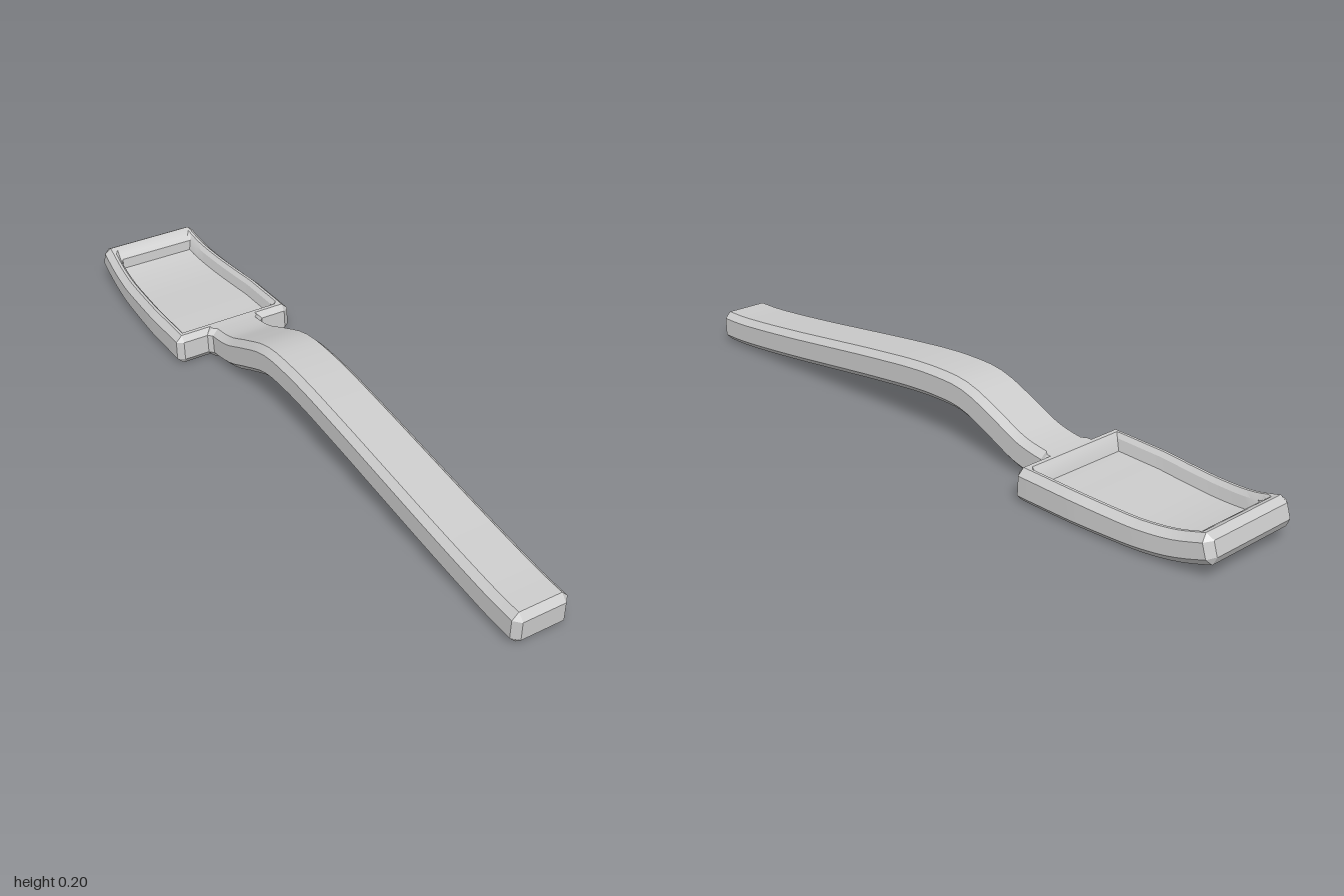
import * as THREE from 'three';
import { toCreasedNormals } from 'three/addons/utils/BufferGeometryUtils.js';

const THICK = 0.09;
const CHAMFER = 0.018;

// Height of the underside, sampled every 0.1 from z = 1.1 down to z = -1.1
const UNDERSIDE = [
  0.002, 0.002, 0.005, 0.014, 0.025, 0.037, 0.05, 0.063, 0.076, 0.088, 0.099, 0.105,
  0.1, 0.062, 0.02, 0.002, 0, 0, 0, 0.003, 0.016, 0.045, 0.08,
];

function underside(z) {
  const s = (1.1 - z) * 10;
  const i = THREE.MathUtils.clamp(Math.floor(s), 1, UNDERSIDE.length - 3);
  const t = s - i;
  const [a, b, c, d] = UNDERSIDE.slice(i - 1, i + 3);
  return b + 0.5 * t * (c - a + t * (2 * a - 5 * b + 4 * c - d + t * (3 * (b - c) + d - a)));
}

// Chamfered bar section, with an optional hollow in its top
function section({ w, inset, bevel, hollow, thick }) {
  const c = inset > 0 ? 0.001 : CHAMFER;
  const x = w - inset, lo = inset, hi = thick - inset;
  const half = [
    [x - c, lo], [x, lo + c], [x, hi - c], [x - c, hi],
    [w - 0.026, hi], [w - 0.036, hi - bevel], [w - 0.043, hi - hollow],
  ];
  return [...half, ...half.map(([px, py]) => [-px, py]).reverse()];
}

// Lofts sections along the bent spine; each row is [z, half width, inset, bevel drop, hollow drop, thickness]
function loft(rows) {
  const stations = [];
  rows.forEach((row, i) => {
    const next = rows[i + 1];
    const n = next ? Math.max(1, Math.ceil((row[0] - next[0]) / 0.03)) : 1;
    for (let k = 0; k < n; k++) {
      stations.push(next ? row.map((v, j) => THREE.MathUtils.lerp(v, next[j], k / n)) : row);
    }
  });

  const positions = [], index = [];
  let count = 0;
  for (const [z, w, inset, bevel, hollow, thick] of stations) {
    const slope = (underside(z + 0.01) - underside(z - 0.01)) / 0.02;
    const len = Math.hypot(1, slope);
    const ring = section({ w, inset, bevel, hollow, thick });
    count = ring.length;
    for (const [x, h] of ring) positions.push(x, underside(z) + h / len, z - (h * slope) / len);
  }
  for (let i = 0; i < stations.length - 1; i++) {
    for (let j = 0; j < count; j++) {
      const a = i * count + j, b = i * count + ((j + 1) % count);
      index.push(a, a + count, b, b, a + count, b + count);
    }
  }
  // End caps
  const last = (stations.length - 1) * count;
  for (let j = 1; j < count - 1; j++) {
    index.push(0, j, j + 1, last, last + j + 1, last + j);
  }
  const geometry = new THREE.BufferGeometry();
  geometry.setAttribute('position', new THREE.Float32BufferAttribute(positions, 3));
  geometry.setIndex(index);
  return toCreasedNormals(geometry, 0.4);
}

export function createModel() {
  const group = new THREE.Group();
  group.name = 'paddle';
  const material = new THREE.MeshStandardMaterial({ color: 0xcccccc });
  const add = (name, rows) => {
    const mesh = new THREE.Mesh(loft(rows), material);
    mesh.name = name;
    group.add(mesh);
  };

  // Curved handle, flaring slightly where it enters the head
  add('handle', [
    [1, 0.08, CHAMFER, 0, 0, THICK],
    [0.982, 0.08, 0, 0, 0, THICK],
    [-0.395, 0.08, 0, 0, 0, THICK],
    [-0.412, 0.092, 0, 0, 0, THICK],
    [-0.435, 0.092, 0, 0, 0, THICK],
  ]);

  // Head: tapering tray with a raised rim and upturned tip
  add('head', [
    [-0.41, 0.185, CHAMFER, 0, 0, THICK],
    [-0.426, 0.185, 0, 0, 0, THICK],
    [-0.44, 0.185, 0, 0, 0, THICK],
    [-0.452, 0.185, 0, 0.012, 0.012, THICK],
    [-0.465, 0.185, 0, 0.012, 0.042, THICK],
    [-0.6, 0.184, 0, 0.012, 0.042, 0.088],
    [-0.8, 0.171, 0, 0.012, 0.042, 0.081],
    [-0.93, 0.159, 0, 0.014, 0.042, 0.077],
    [-0.942, 0.158, 0, 0.014, 0.014, 0.077],
    [-0.975, 0.155, 0, 0, 0, 0.076],
    [-0.988, 0.154, 0, 0, 0, 0.076],
    [-1.004, 0.152, CHAMFER, 0, 0, 0.076],
  ]);
  return group;
}
